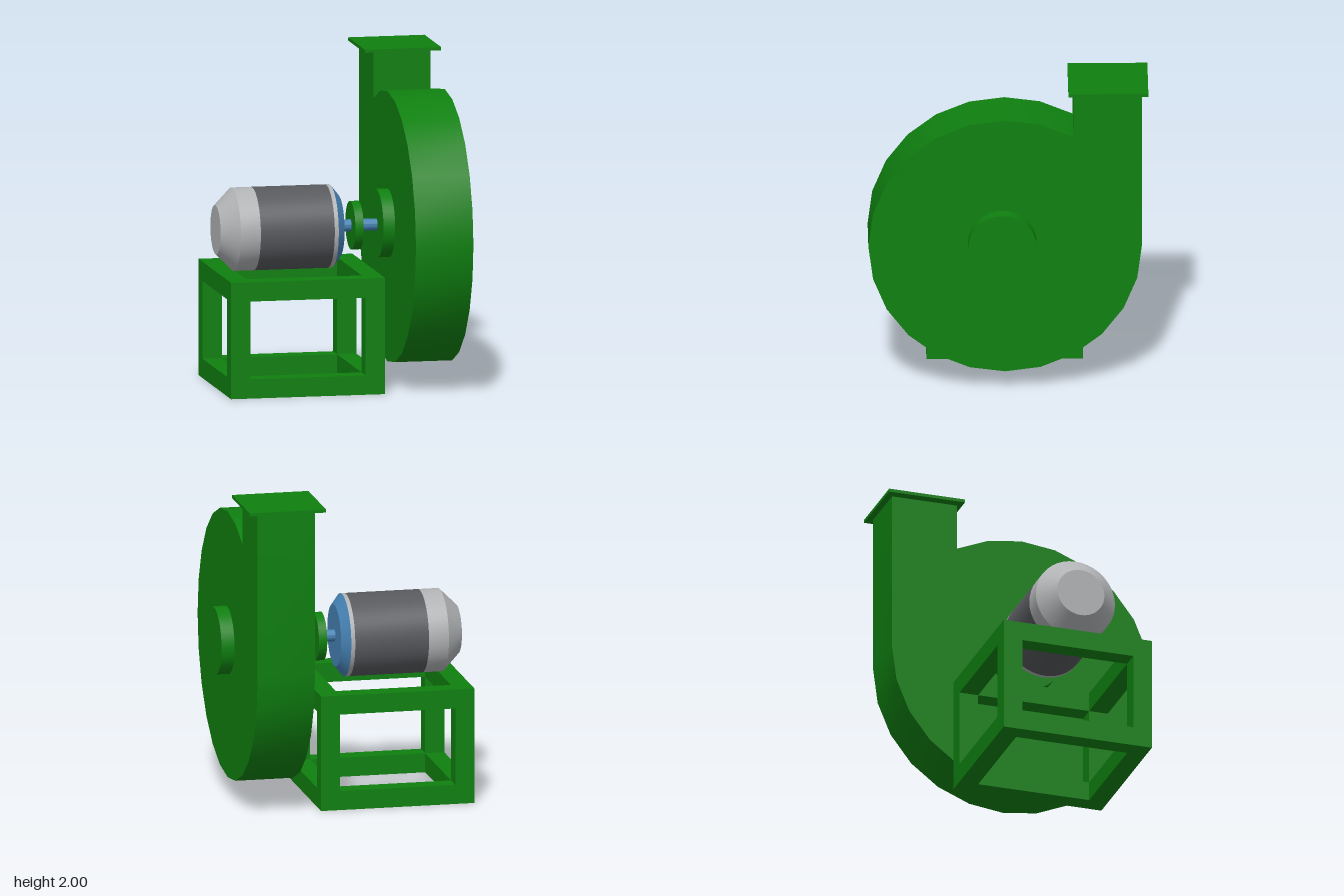
import * as THREE from 'three';
import { toCreasedNormals } from 'three/addons/utils/BufferGeometryUtils.js';

const AXIS_Y = 0.98, AXIS_Z = 0.037;

export function createModel() {
  const model = new THREE.Group();
  model.name = 'centrifugalBlower';

  const paint = (name, color) => {
    const m = new THREE.MeshStandardMaterial({ color });
    m.name = name;
    return m;
  };
  const green = paint('green paint', 0x0f8010);
  const lightGrey = paint('light grey metal', 0xb0b2b4);
  const darkGrey = paint('dark grey metal', 0x57595d);
  const blue = paint('blue steel', 0x4682b4);

  const add = (parent, name, geometry, material) => {
    const mesh = new THREE.Mesh(geometry, material);
    mesh.name = name;
    parent.add(mesh);
    return mesh;
  };

  // Box given by its minimum and maximum corners
  const box = (parent, name, x0, x1, y0, y1, z0, z1) =>
    add(parent, name, new THREE.BoxGeometry(x1 - x0, y1 - y0, z1 - z0), green)
      .position.set((x0 + x1) / 2, (y0 + y1) / 2, (z0 + z1) / 2);

  // Turned part along the x axis; profile is a list of [x, radius]
  const turned = (parent, name, profile, material) => {
    const points = profile.map(([x, r]) => new THREE.Vector2(r, x));
    const geometry = new THREE.LatheGeometry(points, 40).rotateZ(-Math.PI / 2);
    add(parent, name, toCreasedNormals(geometry, 0.5), material)
      .position.set(0, AXIS_Y, AXIS_Z);
  };
  const disc = (parent, name, x0, x1, r, material) =>
    turned(parent, name, [[x0, 0], [x0, r], [x1, r], [x1, 0]], material);

  // Open stand: posts and rails along the twelve edges of a box
  const stand = new THREE.Group();
  stand.name = 'stand';
  model.add(stand);
  const bar = 0.12;
  const X = [-0.765, 0.198], Y = [0, 0.722], Z = [-0.462, 0.496];
  const ends = ([a, b]) => [[a, a + bar], [b - bar, b]];
  for (const x of ends(X)) {
    for (const z of ends(Z)) box(stand, 'post', ...x, Y[0] + bar, Y[1] - bar, ...z);
    for (const y of ends(Y)) box(stand, 'crossRail', ...x, ...y, Z[0] + bar, Z[1] - bar);
  }
  for (const y of ends(Y)) {
    for (const z of ends(Z)) box(stand, 'longRail', ...X, ...y, ...z);
  }

  // Motor with tapered ends
  const motor = new THREE.Group();
  motor.name = 'motor';
  model.add(motor);
  const R = 0.256;
  turned(motor, 'rearCover', [[-0.765, 0], [-0.765, 0.152], [-0.66, R], [-0.535, R]], lightGrey);
  turned(motor, 'motorBody', [[-0.535, R], [-0.072, R]], darkGrey);
  turned(motor, 'frontRing', [[-0.072, R], [-0.047, R]], lightGrey);
  turned(motor, 'frontCover', [[-0.047, R], [0.003, 0.193], [0.003, 0]], blue);

  // Drive line
  disc(model, 'shaft', 0, 0.25, 0.037, blue);
  disc(model, 'coupling', 0.08, 0.132, 0.149, green);

  // Faceted scroll housing with an upright outlet duct
  const blower = new THREE.Group();
  blower.name = 'blower';
  model.add(blower);
  const outline = new THREE.Shape();
  outline.moveTo(0.818, 1.985);
  outline.lineTo(0.399, 1.985);
  for (let i = 4; i <= 24; i++) {
    const a = (i / 24) * Math.PI * 2;
    outline.lineTo(-0.02 + 0.838 * Math.cos(a), 0.963 + 0.838 * Math.sin(a));
  }
  const housing = new THREE.ExtrudeGeometry(outline, { depth: 0.36, bevelEnabled: false })
    .rotateY(Math.PI / 2);
  add(blower, 'scrollHousing', toCreasedNormals(housing, 0.5), green).position.x = 0.316;
  box(blower, 'outletFlange', 0.256, 0.735, 1.98, 2, -0.857, -0.367);
  disc(blower, 'hub', 0.243, 0.758, 0.21, green);
  blower.getObjectByName('hub').position.y = 0.988;

  return model;
}
